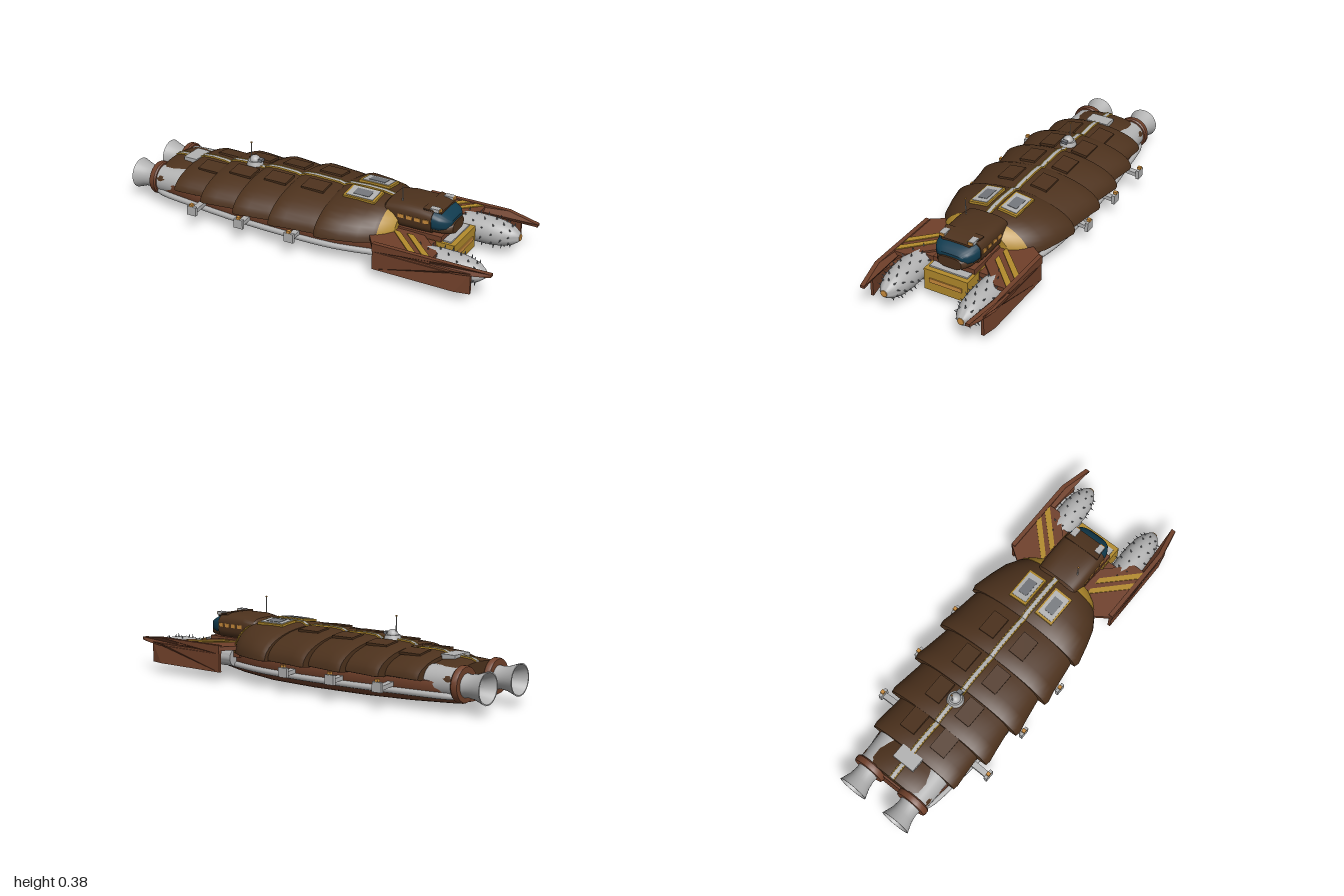
import * as THREE from 'three';
import { toCreasedNormals } from 'three/addons/utils/BufferGeometryUtils.js';

const paint = (name, color) => Object.assign(new THREE.MeshStandardMaterial({ color }), { name });

// Ring of points across the x axis: half width w, rising `up` and falling `down` from yc
function ring(x, w, yc, up, down, e = 1, zc = 0, n = 40) {
  const pts = [];
  for (let i = 0; i < n; i++) {
    const a = (i / n) * Math.PI * 2, c = Math.cos(a), s = Math.sin(a);
    const h = s > 0 ? up : down;
    pts.push([x, yc + h * Math.sign(s) * Math.abs(s) ** e, zc + w * Math.sign(c) * Math.abs(c) ** e]);
  }
  return pts;
}

// Closed skin through rings ordered by growing x
function loft(rings) {
  const n = rings[0].length, pos = [], idx = [];
  rings.forEach(r => r.forEach(p => pos.push(...p)));
  for (let i = 0; i < rings.length - 1; i++) for (let j = 0; j < n; j++) {
    const a = i * n + j, b = i * n + (j + 1) % n;
    idx.push(a, a + n, b, b, a + n, b + n);
  }
  [0, rings.length - 1].forEach((k, end) => {
    const c = pos.length / 3;
    pos.push(rings[k][0][0], (rings[k][n / 4][1] + rings[k][3 * n / 4][1]) / 2, (rings[k][0][2] + rings[k][n / 2][2]) / 2);
    for (let j = 0; j < n; j++) {
      const a = k * n + j, b = k * n + (j + 1) % n;
      idx.push(c, end ? b : a, end ? a : b);
    }
  });
  const g = new THREE.BufferGeometry();
  g.setAttribute('position', new THREE.Float32BufferAttribute(pos, 3));
  g.setIndex(idx);
  return toCreasedNormals(g, 0.6);
}

// Turned solid along x from [x, radius] pairs
const turned = (pts, seg = 28) => toCreasedNormals(
  new THREE.LatheGeometry(pts.map(([x, r]) => new THREE.Vector2(r, x)), seg).rotateZ(-Math.PI / 2), 0.6);

export function createModel() {
  const root = new THREE.Group();
  const armour = paint('dark brown armour', 0x4d321d), rust = paint('rust hull', 0x70402a);
  const gold = paint('gold paint', 0xb38b2c), orange = paint('orange lamp', 0xca8c3c);
  const glass = paint('teal glass', 0x113c50), grey = paint('light grey metal', 0xb2b2b2);
  const steel = paint('dark steel', 0x74777c);

  const add = (name, geo, mat, x = 0, y = 0, z = 0) => {
    const m = new THREE.Mesh(geo, mat);
    m.name = name;
    m.position.set(x, y, z);
    root.add(m);
    return m;
  };
  const box = (name, mat, w, h, d, x, y, z) => add(name, new THREE.BoxGeometry(w, h, d), mat, x, y, z);
  // Flat plate from [x, z] corners
  const plate = (name, mat, pts, top, thick, s) => {
    const shape = new THREE.Shape(pts.map(([x, z]) => new THREE.Vector2(x, z * s)));
    add(name, new THREE.ExtrudeGeometry(shape, { depth: thick, bevelEnabled: false }).rotateX(Math.PI / 2), mat, 0, top, 0);
  };

  // Lower boat hull: x, half width, depth
  const hull = [[-0.87, 0.17, 0.095], [-0.82, 0.195, 0.108], [-0.6, 0.225, 0.12], [-0.35, 0.25, 0.127],
    [-0.05, 0.26, 0.13], [0.2, 0.25, 0.128], [0.42, 0.2, 0.118], [0.56, 0.15, 0.107], [0.67, 0.1, 0.09]];
  add('lowerHull', loft(hull.map(([x, w, d]) => ring(x, w, 0.13, 0.02, d, 0.7))), rust);

  // Overlapping armour segments: rear x, front x, rear width, front width, top
  const segments = [[-0.86, -0.66, 0.2, 0.19, 0.22], [-0.71, -0.48, 0.25, 0.235, 0.24], [-0.525, -0.28, 0.295, 0.265, 0.26],
    [-0.325, -0.07, 0.317, 0.278, 0.272], [-0.118, 0.17, 0.33, 0.288, 0.281]];
  const profiles = segments.map(([a, b, w, v, t]) => [[a, w * 0.985, t - 0.014], [a + 0.025, w, t - 0.004],
    [a + 0.08, w * 0.7 + v * 0.3, t], [b - 0.08, w * 0.3 + v * 0.7, t - 0.003], [b, v, t - 0.02]]);
  profiles.push([[0.125, 0.318, 0.273], [0.15, 0.325, 0.286], [0.25, 0.3, 0.291], [0.33, 0.275, 0.289],
    [0.39, 0.238, 0.28], [0.43, 0.2, 0.268], [0.455, 0.16, 0.25]]);
  profiles.forEach((p, i) => {
    add('armourSegment', loft(p.map(([x, w, t]) => ring(x, w, 0.14, t - 0.14, 0.012))), armour);
    // Spine strip with twin gold lines, and a raised hatch each side
    const run = p.slice(0, 5).filter(([x]) => x < 0.4);
    add('spineStrip', loft(run.map(([x, , t]) => ring(x, 0.013, t, 0.005, 0.006, 0.4))), grey);
    for (const s of [1, -1]) {
      add('spineLine', loft(run.map(([x, , t]) => ring(x, 0.003, t, 0.007, 0.006, 0.4, s * 0.012))), gold);
      if (i === 0 || i === 5) continue;
      const [a, , w, , t] = segments[i], z = 0.09, b = t - 0.14, k = Math.sqrt(1 - (z / w) ** 2);
      const hatch = box('armourHatch', armour, 0.12, 0.012, 0.085, a + 0.13, 0.14 + b * k, s * z);
      hatch.rotation.x = s * Math.atan(b * z / (w * w * k));
    }
  });
  // Gold band round the nose of the armour
  add('noseBand', loft([[0.405, 0.229, 0.279], [0.435, 0.199, 0.27], [0.46, 0.16, 0.253]]
    .map(([x, w, t]) => ring(x, w, 0.14, t - 0.14, 0.008))), gold);

  // Roof equipment
  box('rearRoofBox', grey, 0.075, 0.022, 0.12, -0.74, 0.222, 0);
  add('sensorBase', new THREE.CylinderGeometry(0.035, 0.042, 0.022, 20), grey, -0.39, 0.27, 0);
  add('sensorDome', new THREE.SphereGeometry(0.027, 20, 8, 0, Math.PI * 2, 0, Math.PI / 2), grey, -0.39, 0.28, 0);
  box('sensorEye', steel, 0.02, 0.014, 0.026, -0.355, 0.287, 0);
  for (const [x, z, y0, y1] of [[-0.41, 0, 0.28, 0.368], [0.46, 0.07, 0.29, 0.38]]) {
    add('antenna', new THREE.CylinderGeometry(0.002, 0.003, y1 - y0, 8), grey, x, (y0 + y1) / 2, z);
    box('antennaTip', orange, 0.007, 0.006, 0.007, x, y1 + 0.002, z);
  }

  // Cockpit
  add('cockpit', loft([[0.37, 0.1, 0.03], [0.39, 0.112, 0.053], [0.46, 0.116, 0.065], [0.57, 0.115, 0.065], [0.625, 0.112, 0.058]]
    .map(([x, w, u]) => ring(x, w, 0.24, u, 0.07, 0.62))), armour);
  add('windscreen', loft([[0.62, 0.11, 0.054, 0.05], [0.66, 0.103, 0.043, 0.05], [0.69, 0.085, 0.027, 0.045], [0.705, 0.06, 0.008, 0.035]]
    .map(([x, w, u, d]) => ring(x, w, 0.24, u, d, 0.65))), glass);
  add('cockpitChin', loft([[0.6, 0.1], [0.67, 0.09], [0.7, 0.075], [0.713, 0.06]]
    .map(([x, w]) => ring(x, w, 0.207, 0.027, 0.028, 0.65))), armour);
  add('cockpitBrow', loft([[0.58, 0.1, 0.302], [0.63, 0.09, 0.296], [0.66, 0.075, 0.287]]
    .map(([x, w, y]) => ring(x, w, y, 0.004, 0.012, 0.5))), armour);
  box('chinDeck', rust, 0.28, 0.04, 0.22, 0.54, 0.165, 0);

  // Front bumper block
  box('bumperBlock', gold, 0.2, 0.11, 0.23, 0.65, 0.105, 0);
  box('bumperDeck', grey, 0.04, 0.008, 0.2, 0.705, 0.163, 0);
  box('bumperLamp', orange, 0.008, 0.022, 0.17, 0.751, 0.107, 0);

  for (const s of [1, -1]) {
    // Side windows and roof lamps
    for (let i = 0; i < 4; i++) box('sideWindow', orange, 0.03, 0.018, 0.008, 0.475 + i * 0.042, 0.245, s * 0.114);
    box('roofLampHousing', grey, 0.045, 0.016, 0.03, 0.63, 0.298, s * 0.075);
    box('roofLamp', orange, 0.006, 0.013, 0.026, 0.655, 0.298, s * 0.075);

    // Framed roof hatch
    const frame = new THREE.Group();
    frame.name = 'roofHatch';
    [[gold, 0.165, 0.012, 0.1], [grey, 0.14, 0.018, 0.082], [steel, 0.085, 0.022, 0.05]].forEach(([m, w, h, d]) =>
      frame.add(new THREE.Mesh(new THREE.BoxGeometry(w, h, d), m)));
    frame.position.set(0.26, 0.286, s * 0.078);
    frame.rotation.x = s * 0.13;
    root.add(frame);

    // Rail along the hull and outrigger brackets
    const path = new THREE.CatmullRomCurve3(hull.map(([x, w]) => new THREE.Vector3(x, 0.075, s * (w * 0.97 + 0.003))));
    add('hullRail', new THREE.TubeGeometry(path, 60, 0.015, 10), grey);
    for (const x of [-0.55, -0.28, 0]) {
      const len = 0.12, arm = box('bracketArm', grey, 0.03, 0.02, len, x, 0.1, s * 0.265);
      arm.rotation.x = s * 0.1;
      box('bracketPad', grey, 0.05, 0.046, 0.016, x, 0.102, s * 0.325);
      box('bracketLamp', orange, 0.018, 0.012, 0.018, x, 0.133, s * 0.326);
    }

    // Fender deck with diagonal stripes
    plate('fenderDeck', rust, [[0.38, 0.1], [0.38, 0.24], [0.43, 0.312], [0.72, 0.312], [0.72, 0.235], [0.6, 0.115]], 0.175, 0.02, s);
    for (const x of [0.45, 0.52]) plate('fenderStripe', gold,
      [[x, 0.14], [x + 0.035, 0.14], [x + 0.195, 0.295], [x + 0.155, 0.295]], 0.179, 0.006, s);
    box('fenderShelf', rust, 0.28, 0.05, 0.1, 0.52, 0.14, s * 0.17);

    // Side skirt with upper blade hooking inward at the tip
    const skirt = (name, pts, depth, z) => {
      const g = new THREE.ExtrudeGeometry(new THREE.Shape(pts.map(p => new THREE.Vector2(...p))), { depth, bevelEnabled: false });
      g.translate(0, 0, s * z - depth / 2);
      const p = g.attributes.position;
      for (let i = 0; i < p.count; i++) p.setZ(i, p.getZ(i) - s * Math.max(0, p.getX(i) - 0.84) * 0.2);
      g.computeVertexNormals();
      add(name, g, rust);
    };
    skirt('sideSkirt', [[0.43, 0.048], [0.84, 0.048], [0.91, 0.048], [0.91, 0.15], [0.84, 0.15], [0.43, 0.15]], 0.014, 0.303);
    skirt('skirtBlade', [[0.43, 0.14], [0.84, 0.14], [0.93, 0.143], [1, 0.15], [1, 0.164], [0.84, 0.182], [0.43, 0.182]], 0.022, 0.303);

    // Drill with staggered teeth
    add('drillMount', turned([[0.42, 0], [0.42, 0.045], [0.6, 0.045], [0.6, 0]]), grey, 0, 0.11, s * 0.2);
    const body = [[0.58, 0], [0.58, 0.062], [0.72, 0.068], [0.8, 0.067], [0.86, 0.06], [0.91, 0.043], [0.935, 0.025], [0.942, 0.016]];
    add('drill', turned([...body, [0.942, 0]], 32), grey, 0, 0.11, s * 0.2);
    add('drillTip', turned([[0.935, 0.018], [0.945, 0.016], [0.948, 0]], 20), orange, 0, 0.11, s * 0.2);
    [[0.62, 0.064], [0.67, 0.066], [0.72, 0.068], [0.77, 0.067], [0.82, 0.065], [0.865, 0.058], [0.9, 0.046]].forEach(([x, r], row) => {
      for (let k = 0; k < 9; k++) {
        const a = ((k + (row % 2) / 2) / 9) * Math.PI * 2;
        const tooth = add('drillTooth', new THREE.ConeGeometry(0.0055, 0.024, 6), steel,
          x, 0.11 + Math.cos(a) * (r + 0.006), s * 0.2 + Math.sin(a) * (r + 0.006));
        tooth.rotation.x = a;
      }
    });

    // Engine: casing, collar and hollow nozzle
    add('engineCasing', turned([[-0.86, 0], [-0.86, 0.07], [-0.7, 0.075], [-0.7, 0]]), grey, 0, 0.125, s * 0.13);
    add('engineCollar', turned([[-0.89, 0], [-0.89, 0.08], [-0.882, 0.084], [-0.862, 0.084], [-0.855, 0.078], [-0.855, 0]]), rust, 0, 0.125, s * 0.13);
    add('engineNozzle', turned([[-0.91, 0], [-0.91, 0.04], [-0.95, 0.05], [-1, 0.07], [-1, 0.076], [-0.95, 0.058],
      [-0.91, 0.052], [-0.88, 0.056]]), grey, 0, 0.122, s * 0.13);
  }
  return root;
}
